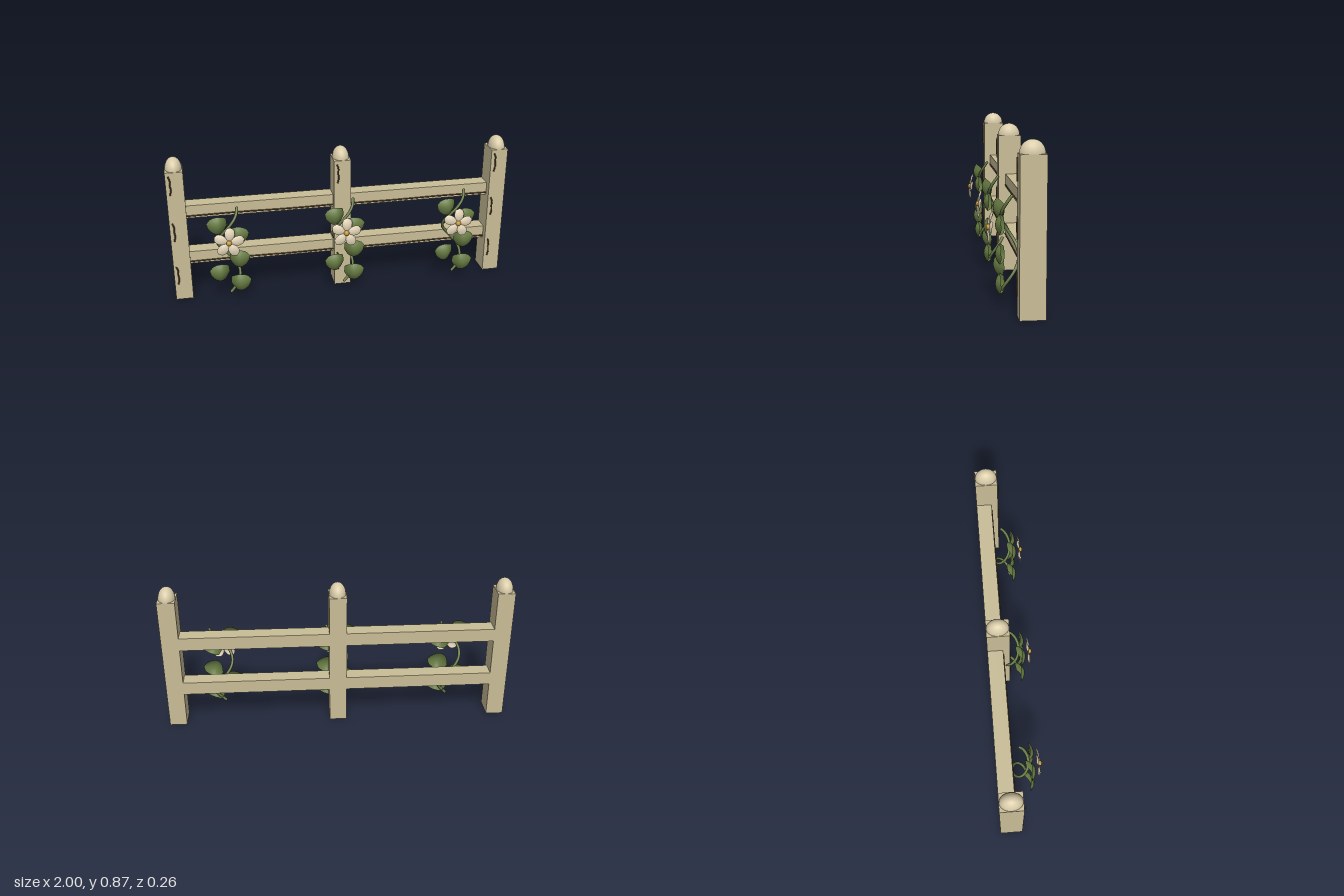
import * as THREE from 'three';

const mat = (name, color, side = THREE.FrontSide) => {
  const m = new THREE.MeshStandardMaterial({ color, side });
  m.name = name;
  return m;
};

const wood = mat('pale wood', 0xc9bd97);
const knobWood = mat('light knob wood', 0xd8cba8);
const grain = mat('dark grain', 0x5c452c);
const leafGreen = mat('leaf green', 0x667a42, THREE.DoubleSide);
const stemGreen = mat('stem green', 0x6d7f4b);
const petalCream = mat('petal cream', 0xe0d2b6, THREE.DoubleSide);
const gold = mat('flower gold', 0xc99a38);

function add(parent, name, geometry, material, x = 0, y = 0, z = 0) {
  const mesh = new THREE.Mesh(geometry, material);
  mesh.name = name;
  mesh.position.set(x, y, z);
  parent.add(mesh);
  return mesh;
}

function tube(points, radius, segments, sides = 6) {
  const curve = new THREE.CatmullRomCurve3(points.map(p => new THREE.Vector3(...p)));
  return new THREE.TubeGeometry(curve, segments, radius, sides);
}

// Blade growing along +x: a plane pinched to a pointed outline and domed towards +z
function blade(length, halfWidth, startPower, endPower, height, edgeDrop) {
  const g = new THREE.PlaneGeometry(1, 2, 10, 6);
  const p = g.attributes.position;
  const peak = startPower / (startPower + endPower);
  const outline = u => Math.pow(u, startPower) * Math.pow(1 - u, endPower);
  for (let i = 0; i < p.count; i++) {
    const u = Math.min(1, Math.max(0, p.getX(i) + 0.5)), v = p.getY(i);
    const w = halfWidth * outline(u) / outline(peak);
    p.setXYZ(i, u * length, v * w, height(u) - edgeDrop * v * v * w / halfWidth);
  }
  g.computeVertexNormals();
  return g;
}

const leafGeo = blade(0.12, 0.054, 0.4, 0.6,
  u => 0.09 - (u < 0.45 ? 0.055 * ((0.45 - u) / 0.45) ** 2 : 0.024 * ((u - 0.45) / 0.55) ** 2), 0.022);
const petalGeo = blade(0.09, 0.029, 0.8, 0.5, u => 0.012 * Math.sin(Math.PI * u), 0.008);

function makePost(x) {
  const post = new THREE.Group();
  post.name = 'post';
  post.position.x = x;
  add(post, 'postBody', new THREE.BoxGeometry(0.1, 0.8, 0.13), wood, 0, 0.4, -0.065);
  const knob = add(post, 'postKnob',
    new THREE.SphereGeometry(1, 20, 10, 0, Math.PI * 2, 0, Math.PI / 2), knobWood, 0, 0.8, -0.065);
  knob.scale.set(0.048, 0.068, 0.064);
  // Wavy cracks down the front
  for (const y of [0.665, 0.38, 0.102]) {
    add(post, 'postGrain', tube([[-0.034, 0.115, 0], [-0.025, 0.09, 0.002], [-0.026, 0.06, 0.002],
      [-0.023, 0.035, 0.002], [-0.029, 0, 0]], 0.0045, 14, 5), grain, 0, y, 0.001);
  }
  return post;
}

function makeRail(y) {
  const rail = new THREE.Group();
  rail.name = 'rail';
  rail.position.y = y;
  add(rail, 'railBeam', new THREE.BoxGeometry(1.8, 0.077, 0.09), wood, 0, 0, -0.085);
  // Long grain lines low on the front face, one for each bay
  for (const s of [-1, 1]) {
    add(rail, 'railGrain', tube([[0.05, -0.024, 0], [0.3, -0.026, 0], [0.6, -0.023, 0], [0.9, -0.025, 0]]
      .map(([x, yy, z]) => [s * x, yy, z]), 0.0045, 16, 5), grain, 0, 0, -0.039);
  }
  return rail;
}

function makeFlower() {
  const flower = new THREE.Group();
  flower.name = 'flower';
  for (let i = 0; i < 5; i++) {
    const petal = add(flower, 'petal', petalGeo, petalCream);
    petal.rotation.z = Math.PI * (0.46 + i * 0.4);
  }
  const heart = add(flower, 'flowerCentre', new THREE.SphereGeometry(0.016, 14, 10), gold, 0, 0, 0.01);
  heart.scale.z = 0.8;
  flower.position.set(0, 0.395, 0.109);
  flower.rotation.x = -0.12;
  return flower;
}

function makeVine(x) {
  const vine = new THREE.Group();
  vine.name = 'vine';
  vine.position.x = x;
  // Stem winding one and a quarter turns downwards
  const path = [];
  for (let i = 0; i <= 20; i++) {
    const turn = 1.25 * i / 20, a = turn * Math.PI * 2;
    path.push([0.06 * Math.cos(a), 0.562 - 0.41 * turn, 0.008 + 0.045 * Math.sin(a)]);
  }
  add(vine, 'stem', tube(path, 0.0085, 60, 8), stemGreen);
  for (const end of [path[0], path[20]]) {
    add(vine, 'stemTip', new THREE.SphereGeometry(0.0085, 8, 6), stemGreen, ...end);
  }
  // Leaves on alternating sides, tips outwards and a little up
  for (const [side, y] of [[-1, 0.475], [1, 0.405], [1, 0.255], [-1, 0.175], [1, 0.1]]) {
    const holder = new THREE.Group();
    holder.name = 'leafHolder';
    holder.scale.x = side;
    holder.position.y = y;
    const leaf = add(holder, 'leaf', leafGeo, leafGreen, 0.002, 0, 0);
    leaf.rotation.z = 0.22;
    vine.add(holder);
  }
  vine.add(makeFlower());
  return vine;
}

export function createModel() {
  const model = new THREE.Group();
  model.name = 'fence';
  for (const x of [-0.95, 0, 0.95]) model.add(makePost(x));
  for (const y of [0.539, 0.248]) model.add(makeRail(y));
  for (const x of [-0.677, 0, 0.677]) model.add(makeVine(x));
  return model;
}
